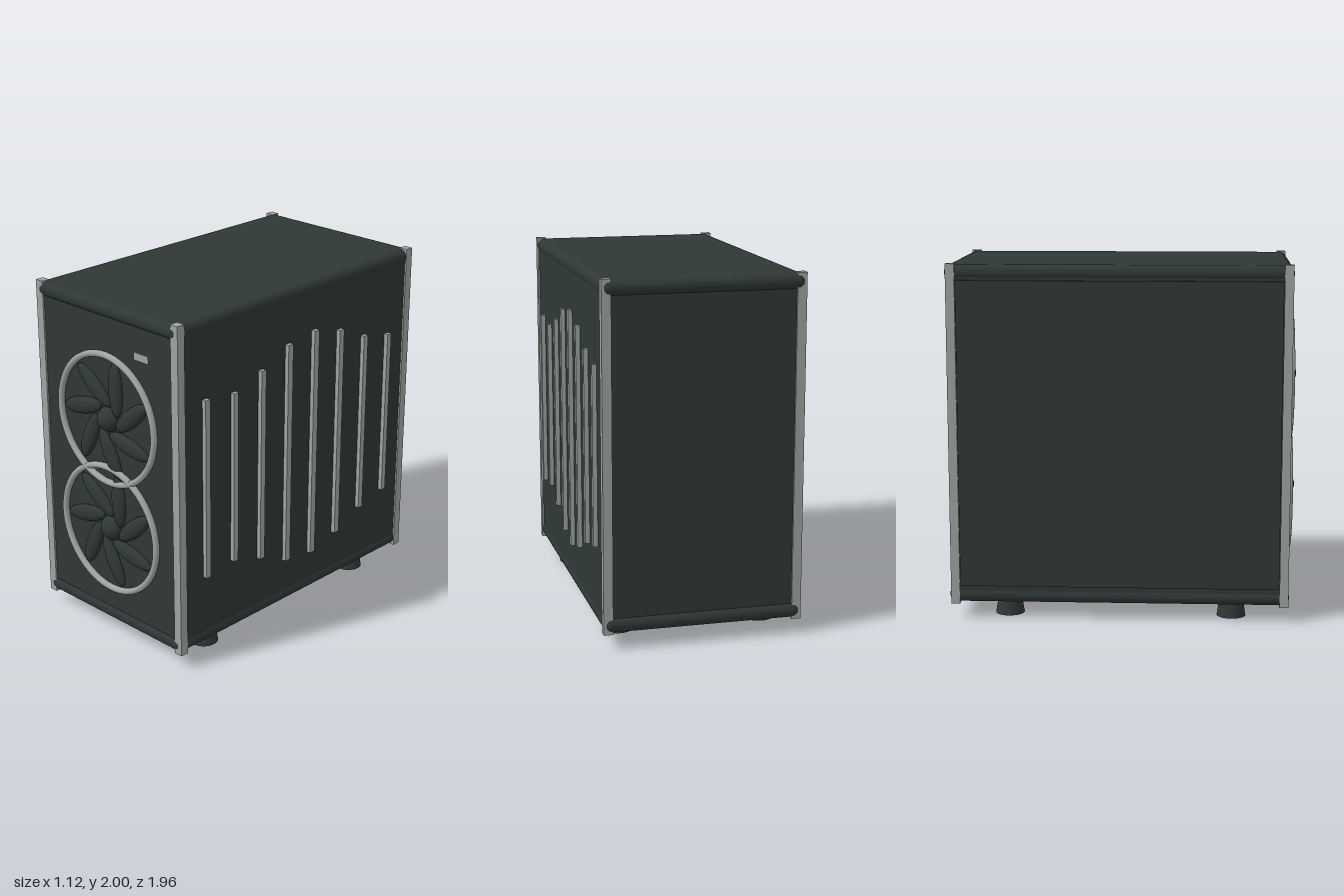
import * as THREE from 'three';
import { RoundedBoxGeometry } from 'three/addons/geometries/RoundedBoxGeometry.js';

const dark = new THREE.MeshStandardMaterial({ color: 0x2f3836 });
dark.name = 'charcoal casing';
const metal = new THREE.MeshStandardMaterial({ color: 0x9ea4a2 });
metal.name = 'brushed grey metal';

// Centre of the casing, offset slightly by the louvres and fans
const CX = -0.007;
const CZ = -0.017;

function add(parent, name, geometry, material, x, y, z) {
  const mesh = new THREE.Mesh(geometry, material);
  mesh.name = name;
  mesh.position.set(x, y, z);
  parent.add(mesh);
  return mesh;
}

const box = (w, h, d) => new THREE.BoxGeometry(w, h, d);

// Fan: metal ring, domed hub and seven swept blades
function createFan() {
  const fan = new THREE.Group();
  fan.name = 'fan';
  add(fan, 'fanRing', new THREE.TorusGeometry(0.372, 0.019, 12, 64), metal, 0, 0, 0.936);
  add(fan, 'fanHub', new THREE.SphereGeometry(0.074, 24, 16), dark, 0, 0, 0.907);
  const bladeGeometry = new THREE.SphereGeometry(1, 24, 14);
  for (let i = 0; i < 7; i++) {
    const angle = THREE.MathUtils.degToRad(69) + (i * Math.PI * 2) / 7;
    const blade = add(fan, 'fanBlade', bladeGeometry, dark,
      Math.cos(angle) * 0.2, Math.sin(angle) * 0.2, 0.928);
    blade.scale.set(0.156, 0.049, 0.03);
    blade.rotation.z = angle + THREE.MathUtils.degToRad(23);
  }
  return fan;
}

export function createModel() {
  const model = new THREE.Group();
  model.name = 'computerTower';

  // Casing, with a thin raised panel on the plain side
  add(model, 'caseBody', box(1.086, 1.78, 1.876), dark, CX, 1.045, CZ);
  add(model, 'sidePanel', box(0.02, 1.72, 1.79), dark, -0.553, 1.05, CZ);

  // Rounded top and bottom slabs
  const slab = new RoundedBoxGeometry(1.1, 0.087, 1.912, 5, 0.042);
  add(model, 'topSlab', slab, dark, CX, 1.951, -0.02);
  add(model, 'bottomSlab', slab, dark, CX, 0.134, -0.02);

  // Corner posts and tapered feet
  const post = box(0.052, 1.915, 0.05);
  const foot = new THREE.CylinderGeometry(0.066, 0.082, 0.095, 32);
  for (const sx of [-1, 1]) {
    for (const sz of [-1, 1]) {
      add(model, 'cornerPost', post, metal, CX + sx * 0.527, 1.0425, CZ + sz * 0.923);
      add(model, 'foot', foot, dark, CX + sx * 0.408, 0.0475, CZ + sz * 0.631);
    }
  }

  // Vertical louvres on the slotted side, front to back
  const heights = [1.045, 1.0, 1.135, 1.32, 1.375, 1.27, 1.09, 1.0];
  heights.forEach((h, i) => {
    add(model, 'louvre', box(0.03, h, 0.022 + h * 0.012), metal, 0.546, 1.025, 0.73 - i * 0.214);
  });

  // Two overlapping fans on the front
  for (const y of [1.333, 0.677]) {
    const fan = createFan();
    fan.position.set(CX, y, 0);
    model.add(fan);
  }

  // Small plain plate at the upper front corner
  add(model, 'frontPlate', box(0.108, 0.042, 0.008), metal, 0.303, 1.775, 0.957);

  return model;
}
